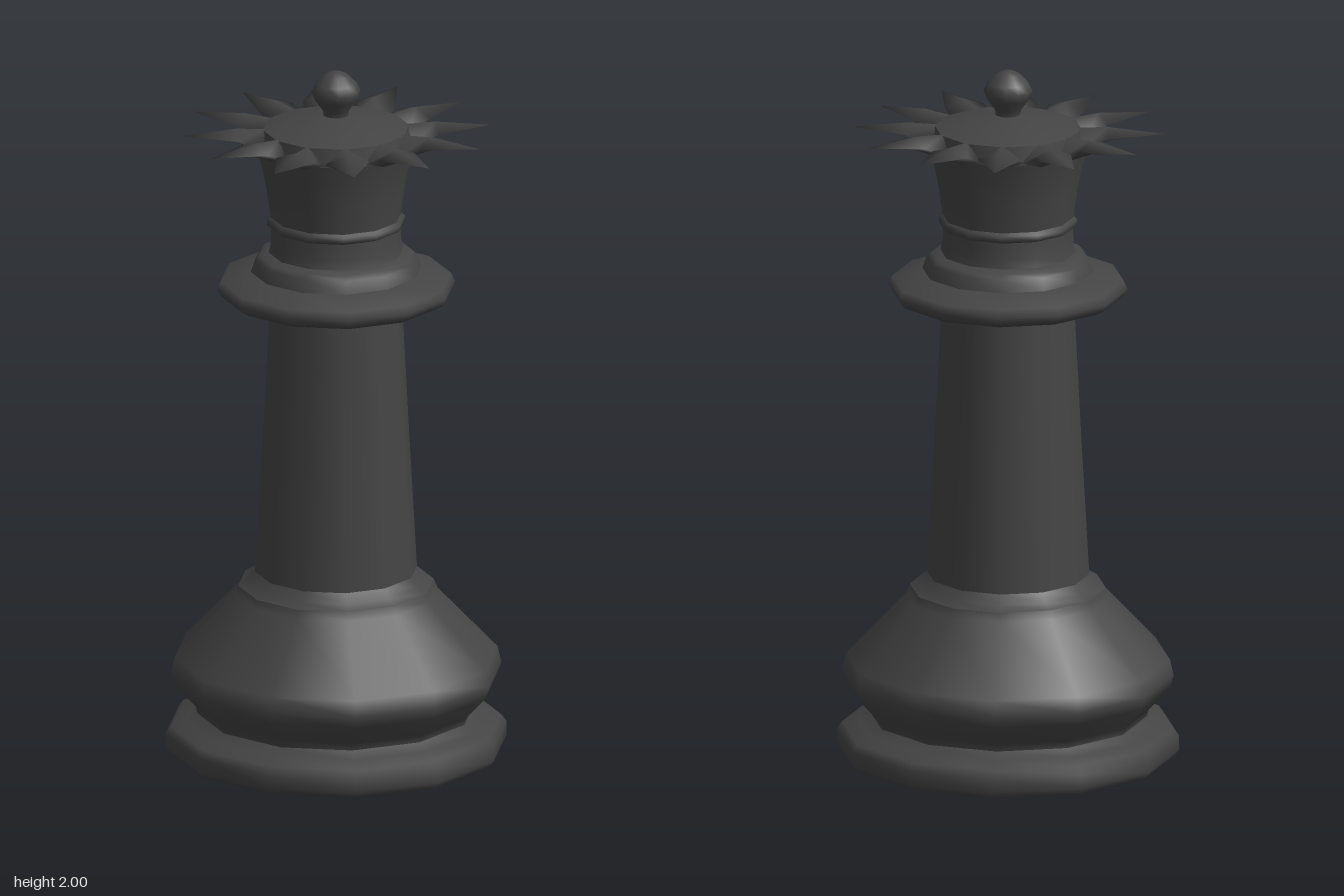
import * as THREE from 'three';

const material = new THREE.MeshStandardMaterial({ color: 0x444444 });
const SIDES = 12;

// Turned parts: [radius, height] profiles from bottom to top
const profiles = {
  foot: [[0, 0], [0.4, 0.005], [0.465, 0.015], [0.48, 0.035], [0.48, 0.075], [0.465, 0.095], [0.42, 0.11], [0.39, 0.13]],
  bulge: [[0.39, 0.13], [0.395, 0.15], [0.455, 0.215], [0.465, 0.25], [0.455, 0.295], [0.285, 0.475], [0.275, 0.5]],
  shoulder: [[0.275, 0.5], [0.25, 0.515], [0.228, 0.54]],
  column: [[0.228, 0.54], [0.205, 0.95], [0.185, 1.34]],
  collar: [[0.18, 1.34], [0.305, 1.34], [0.325, 1.352], [0.335, 1.372], [0.325, 1.395], [0.24, 1.42]],
  collarStep: [[0.24, 1.42], [0.228, 1.455], [0.215, 1.467], [0.19, 1.475]],
  neck: [[0.19, 1.475], [0.184, 1.5], [0.182, 1.548]],
  neckRing: [[0.182, 1.548], [0.194, 1.555], [0.194, 1.57], [0.184, 1.578]],
  crown: [[0.184, 1.578], [0.195, 1.66], [0.209, 1.73], [0.225, 1.785]],
  crownRim: [[0.214, 1.78], [0.206, 1.835]],
  dome: [[0.206, 1.835], [0.15, 1.853], [0.08, 1.868], [0.03, 1.873]],
  finial: [[0.035, 1.868], [0.036, 1.885], [0.06, 1.918], [0.069, 1.942], [0.058, 1.965], [0.035, 1.988], [0.016, 1.998], [0, 2]],
};

// One crown point along +z: two diamond sections and a tip
function spikeGeometry() {
  const section = (w, z, side, top, bottom, zTop, zBottom) =>
    [w, side, z, 0, top, zTop, -w, side, z, 0, bottom, zBottom];
  const positions = [
    ...section(0.057, 0.21, 1.79, 1.838, 1.775, 0.2, 0.22),
    ...section(0.06, 0.285, 1.822, 1.842, 1.803, 0.28, 0.285),
    0, 1.826, 0.435,
  ];
  const index = [];
  for (let i = 0; i < 4; i++) {
    const j = (i + 1) % 4;
    index.push(i, j, 4 + i, j, 4 + j, 4 + i, 4 + i, 4 + j, 8);
  }
  const geometry = new THREE.BufferGeometry();
  geometry.setAttribute('position', new THREE.Float32BufferAttribute(positions, 3));
  geometry.setIndex(index);
  geometry.computeVertexNormals();
  return geometry;
}

export function createModel() {
  const model = new THREE.Group();
  model.name = 'chessQueen';

  for (const [name, profile] of Object.entries(profiles)) {
    const points = profile.map(([r, y]) => new THREE.Vector2(r, y));
    const mesh = new THREE.Mesh(new THREE.LatheGeometry(points, SIDES), material);
    mesh.name = name;
    model.add(mesh);
  }

  // Ring of crown points
  const spikes = new THREE.Group();
  spikes.name = 'crownPoints';
  const geometry = spikeGeometry();
  for (let i = 0; i < SIDES; i++) {
    const spike = new THREE.Mesh(geometry, material);
    spike.name = 'crownPoint';
    spike.rotation.y = (i / SIDES) * Math.PI * 2;
    spikes.add(spike);
  }
  model.add(spikes);
  return model;
}
